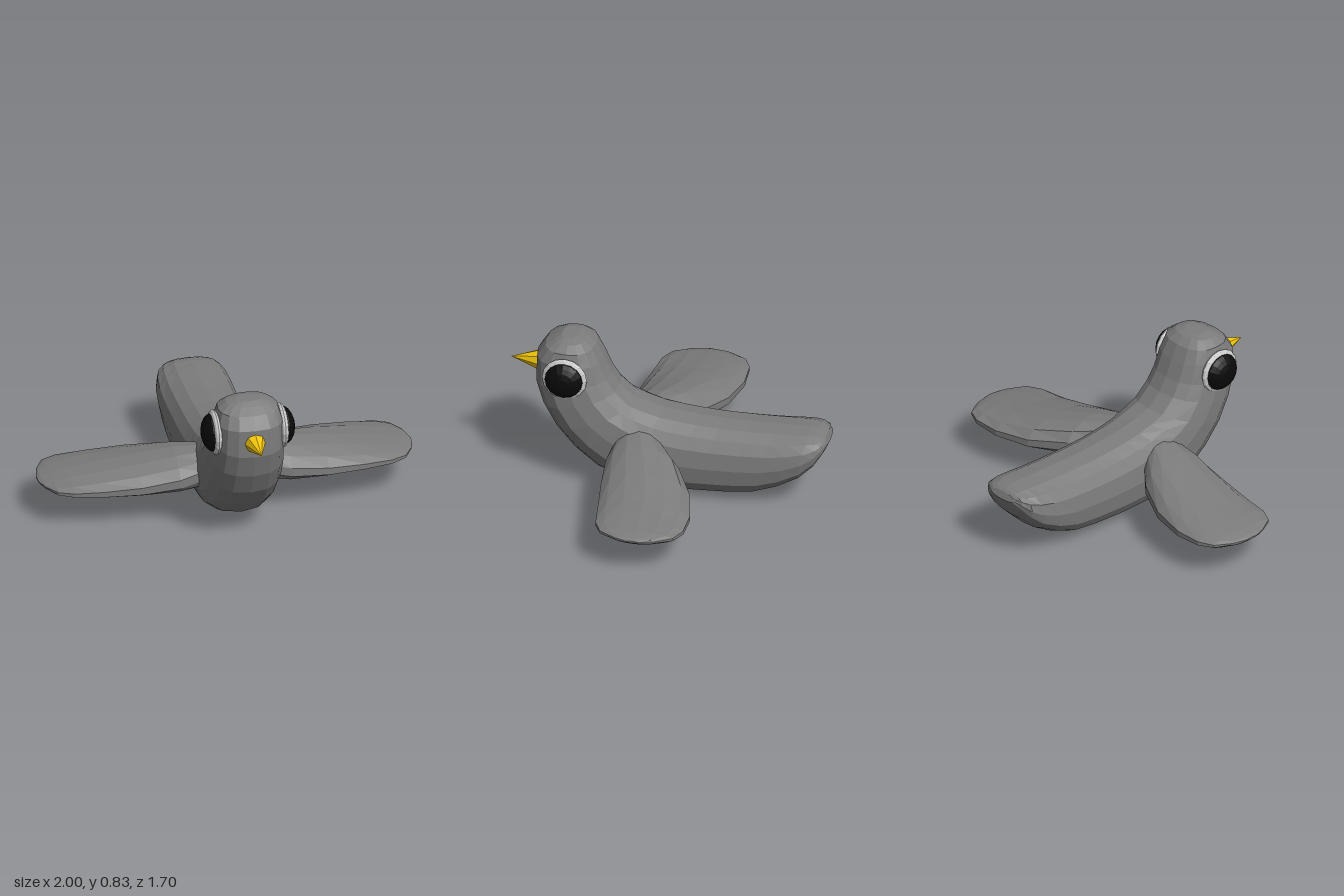
import * as THREE from 'three';

const paint = (color) => new THREE.MeshStandardMaterial({ color, flatShading: true });

// Skin a list of equal-sized rings of Vector3, closing both ends with fans.
function loft(rings) {
  const n = rings[0].length, pos = [], index = [];
  const centre = (r) => r.reduce((s, p) => s.add(p), new THREE.Vector3()).divideScalar(n);
  rings.forEach((r) => r.forEach((p) => pos.push(p.x, p.y, p.z)));
  const last = rings.length - 1, start = rings.length * n, end = start + 1;
  for (const r of [rings[0], rings[last]]) pos.push(...centre(r).toArray());
  for (let j = 0; j < n; j++) {
    const k = (j + 1) % n;
    for (let i = 0; i < last; i++) {
      const a = i * n + j, b = i * n + k;
      index.push(a, b, b + n, a, b + n, a + n);
    }
    index.push(start, k, j, end, last * n + j, last * n + k);
  }
  const g = new THREE.BufferGeometry();
  g.setAttribute('position', new THREE.Float32BufferAttribute(pos, 3));
  g.setIndex(index);
  g.computeVertexNormals();
  return g;
}

// Rounded-square ring: pairs of [cos, sin] pushed outward by a superellipse rule.
function ringShape(sides, power) {
  const bend = (v) => Math.sign(v) * Math.pow(Math.abs(v), 2 / power);
  return Array.from({ length: sides }, (_, i) => {
    const t = (i / sides) * Math.PI * 2;
    return [bend(Math.cos(t)), bend(Math.sin(t))];
  });
}

function mesh(name, geometry, material) {
  const m = new THREE.Mesh(geometry, material);
  m.name = name;
  return m;
}

// Body slices from crown to tail: back z, y, belly z, y, half width.
const BODY = [
  [0.485, 0.832, 0.575, 0.832, 0.065],
  [0.44, 0.82, 0.61, 0.815, 0.115],
  [0.395, 0.785, 0.66, 0.785, 0.16],
  [0.355, 0.71, 0.705, 0.72, 0.18],
  [0.315, 0.62, 0.71, 0.57, 0.187],
  [0.27, 0.55, 0.67, 0.44, 0.196],
  [0.19, 0.48, 0.6, 0.31, 0.203],
  [0.11, 0.457, 0.5, 0.19, 0.205],
  [0.03, 0.438, 0.38, 0.09, 0.205],
  [-0.06, 0.427, 0.24, 0.03, 0.205],
  [-0.16, 0.418, 0.1, 0.005, 0.205],
  [-0.28, 0.411, -0.1, 0, 0.205],
  [-0.43, 0.41, -0.3, 0.01, 0.205],
  [-0.57, 0.412, -0.45, 0.03, 0.205],
  [-0.67, 0.415, -0.58, 0.08, 0.203],
  [-0.75, 0.415, -0.7, 0.15, 0.193],
  [-0.795, 0.407, -0.78, 0.23, 0.172],
  [-0.82, 0.397, -0.825, 0.3, 0.135],
  [-0.833, 0.387, -0.85, 0.35, 0.085],
];

// Wing slices from root to tip: x, front z, back z, top y, middle y, bottom y.
const WING = [
  [0.12, 0.22, 0.04, 0.365, 0.27, 0.18],
  [0.17, 0.27, 0.0, 0.38, 0.26, 0.155],
  [0.3, 0.29, -0.11, 0.36, 0.23, 0.145],
  [0.5, 0.275, -0.21, 0.315, 0.205, 0.14],
  [0.7, 0.25, -0.253, 0.275, 0.2, 0.143],
  [0.85, 0.23, -0.248, 0.25, 0.205, 0.155],
  [0.93, 0.19, -0.21, 0.235, 0.207, 0.17],
  [0.98, 0.1, -0.12, 0.222, 0.208, 0.185],
  [1.0, 0.03, -0.03, 0.212, 0.208, 0.202],
];

function bodyGeometry() {
  const shape = ringShape(16, 2.5);
  return loft(BODY.map(([tz, ty, bz, by, w]) => shape.map(([c, s]) => new THREE.Vector3(
    w * s, (ty + by) / 2 + c * (ty - by) / 2, (tz + bz) / 2 + c * (tz - bz) / 2))));
}

function wingGeometry(side) {
  const shape = ringShape(14, 2);
  return loft(WING.map(([x, front, back, top, mid, bottom]) => shape.map(([c, s]) => new THREE.Vector3(
    side * x,
    mid + c * (c > 0 ? top - mid : mid - bottom),
    (front + back) / 2 + side * s * (front - back) / 2))));
}

// Squashed ball with its pole pointing sideways.
function eyeBall(name, side, x, radius, depth, material) {
  const m = mesh(name, new THREE.SphereGeometry(radius, 16, 10), material);
  m.rotation.z = -side * Math.PI / 2;
  m.scale.y = depth / radius;
  m.position.set(side * x, 0.65, 0.53);
  return m;
}

export function createModel() {
  const model = new THREE.Group();
  model.name = 'bird';
  const plumage = paint(0x7c7c7c), black = paint(0x0a0a0a), rim = paint(0xcccccc);

  model.add(mesh('body', bodyGeometry(), plumage));

  // Beak
  const beak = mesh('beak', new THREE.ConeGeometry(0.065, 0.18, 8), paint(0xf2c60c));
  beak.rotation.x = Math.PI / 2;
  beak.position.set(0, 0.647, 0.76);
  model.add(beak);

  // Wings and eyes on both sides
  for (const [label, side] of [['left', 1], ['right', -1]]) {
    model.add(mesh(label + 'Wing', wingGeometry(side), plumage));
    model.add(eyeBall(label + 'EyeRim', side, 0.178, 0.12, 0.035, rim));
    model.add(eyeBall(label + 'Eye', side, 0.183, 0.104, 0.066, black));
  }
  return model;
}
